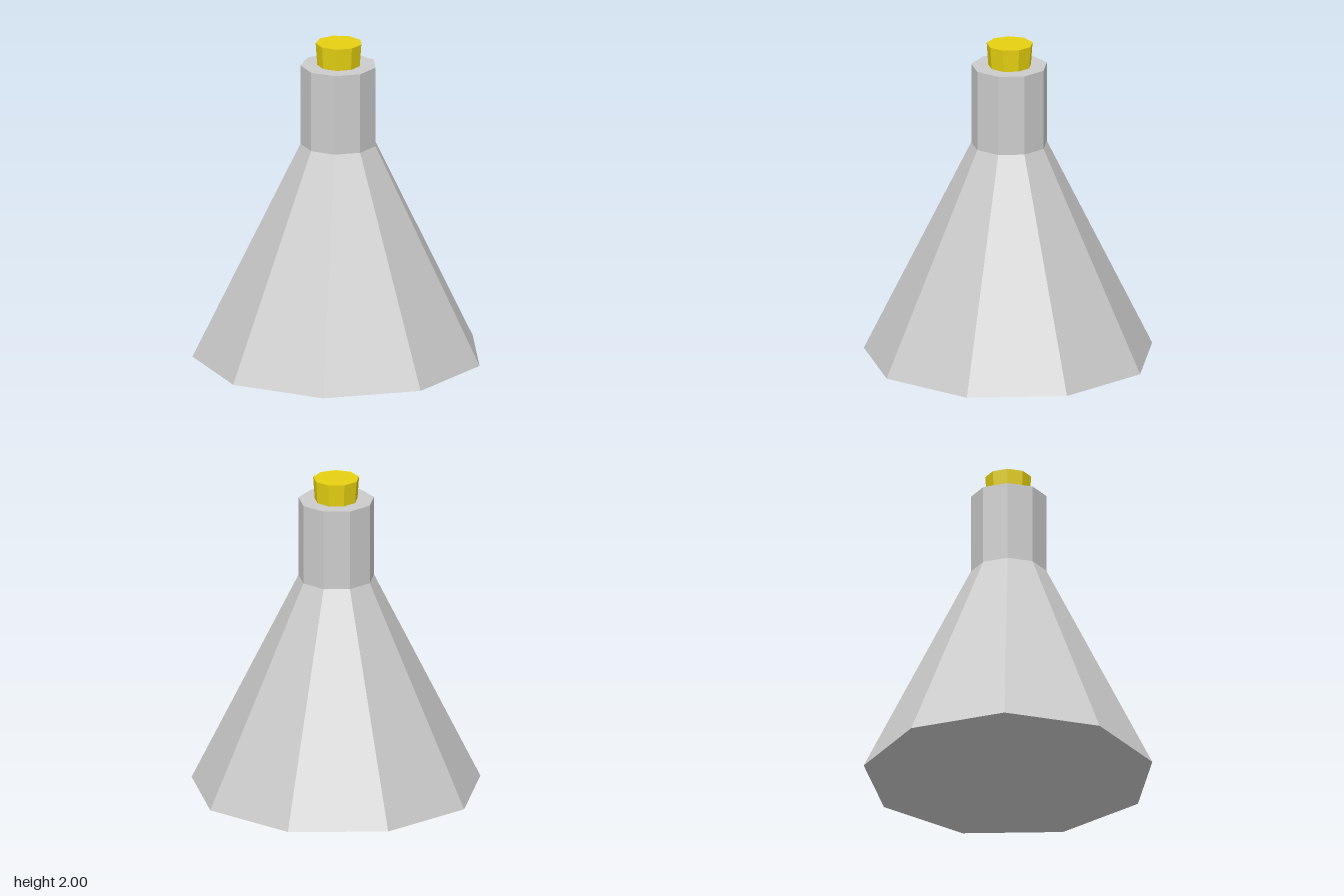
import * as THREE from 'three';

const SIDES = 9;
const CENTRE_Z = 0.027; // a nine-sided outline is off-centre between its corner and its flat

// Faceted solid of revolution with one corner pointing back
function turned(name, profile, color) {
  const points = profile.map(([r, y]) => new THREE.Vector2(r, y));
  const mesh = new THREE.Mesh(
    new THREE.LatheGeometry(points, SIDES, Math.PI),
    new THREE.MeshStandardMaterial({ color, flatShading: true })
  );
  mesh.name = name;
  return mesh;
}

export function createModel() {
  const model = new THREE.Group();
  model.name = 'flask';

  // Conical body with straight neck, closed at both ends
  const body = turned('flaskBody', [
    [0, 0], [0.898, 0], [0.235, 1.355], [0.235, 1.86], [0, 1.86],
  ], 0xcccccc);
  body.position.z = CENTRE_Z;

  // Stopper, widening upwards, seated slightly into the neck
  const stopper = turned('stopper', [
    [0, 1.83], [0.131, 1.83], [0.143, 2], [0, 2],
  ], 0xe6d111);
  stopper.position.z = 0.024;

  model.add(body, stopper);
  return model;
}
